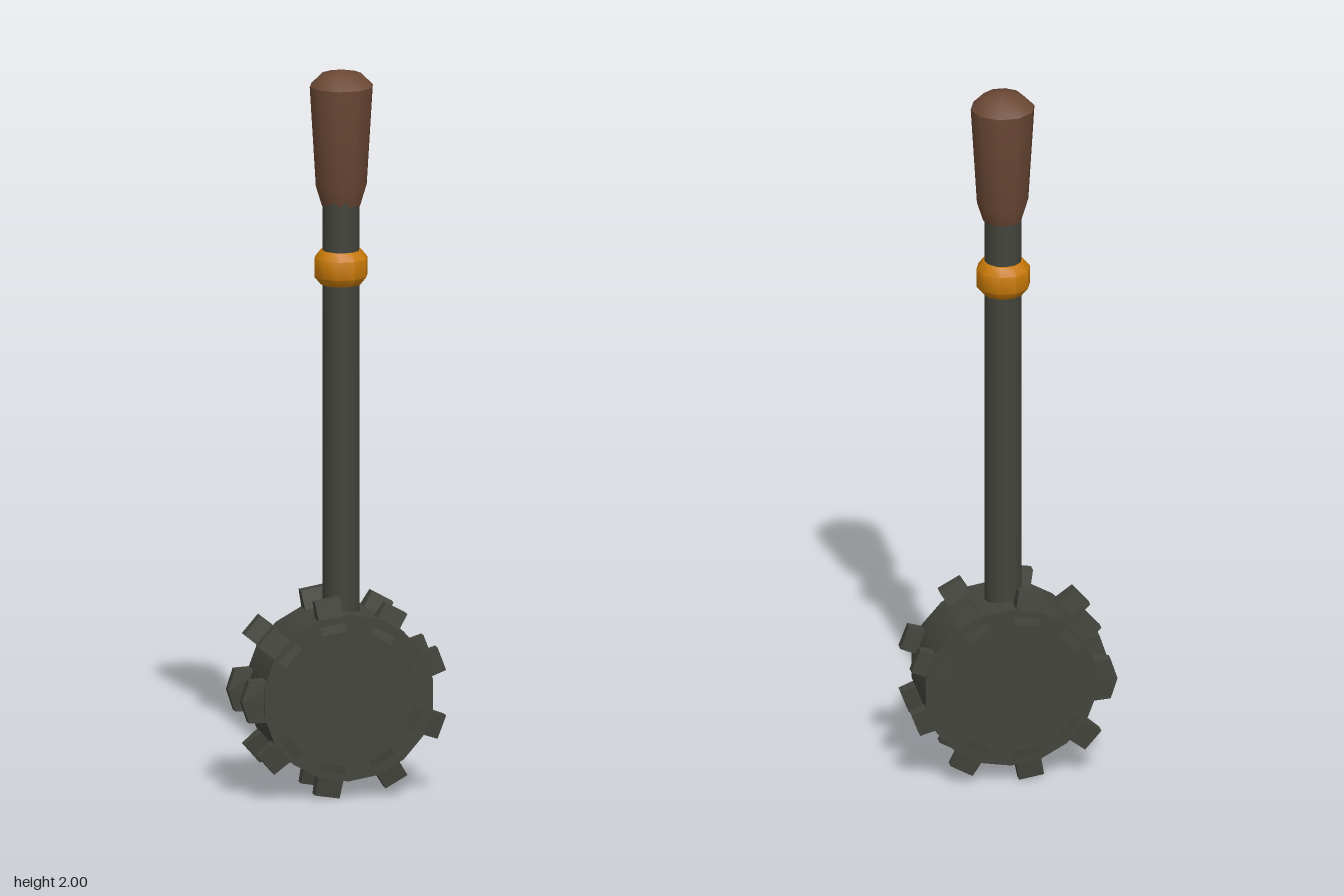
import * as THREE from 'three';
import { toCreasedNormals } from 'three/addons/utils/BufferGeometryUtils.js';

function material(name, color) {
  const m = new THREE.MeshStandardMaterial({ color });
  m.name = name;
  return m;
}

// Ten-sided turned part with a corner on the x axis; profile runs bottom to top
function turned(name, profile, mat, x, z) {
  const pts = profile.map(([r, y]) => new THREE.Vector2(r, y));
  const geo = toCreasedNormals(new THREE.LatheGeometry(pts, 10, Math.PI / 2), 0.7);
  const mesh = new THREE.Mesh(geo, mat);
  mesh.name = name;
  mesh.position.set(x, 0, z);
  return mesh;
}

// Radial tooth along +x, narrowing towards its tip; side is +1 (front) or -1 (back)
function toothGeometry(side, halfWidth, crown) {
  const box = new THREE.BoxGeometry(1, 1, 1, 1, 2, 1);
  const p = box.attributes.position;
  for (let i = 0; i < p.count; i++) {
    const tip = p.getX(i) > 0;
    const t = p.getY(i) * 2;
    const r = tip ? 0.287 - crown * Math.abs(t) : 0.19;
    const mid = tip ? 0.081 : 0.077;
    const depth = tip ? 0.028 : 0.06;
    p.setXYZ(i, r, t * halfWidth, side * mid + p.getZ(i) * depth);
  }
  const geo = box.toNonIndexed();
  geo.computeVertexNormals();
  return geo;
}

export function createModel() {
  const iron = material('darkIron', 0x43443c);
  const brass = material('brass', 0xc97a08);
  const wood = material('wood', 0x6b4835);
  const model = new THREE.Group();
  model.name = 'gearLever';

  // Double-toothed gear at the foot
  const gear = new THREE.Group();
  gear.name = 'gear';
  gear.position.set(0, 0.28, -0.004);
  gear.scale.y = 0.965;
  model.add(gear);

  const drumGeo = new THREE.CylinderGeometry(0.239, 0.239, 0.208, 18);
  drumGeo.rotateX(Math.PI / 2);
  const drum = new THREE.Mesh(drumGeo, iron);
  drum.name = 'gearDrum';
  drum.position.x = 0.008;
  gear.add(drum);

  // Nine teeth on each rim, the one on the right being wider and pointed
  for (const side of [1, -1]) {
    const narrow = toothGeometry(side, 0.035, 0);
    const wide = toothGeometry(side, 0.06, 0.019);
    for (let i = 0; i < 9; i++) {
      const tooth = new THREE.Mesh(i === 4 ? wide : narrow, iron);
      tooth.name = side > 0 ? 'frontTooth' : 'backTooth';
      tooth.rotation.z = THREE.MathUtils.degToRad(20 + 40 * i);
      gear.add(tooth);
    }
  }

  // Shaft
  const shaft = new THREE.Mesh(new THREE.CylinderGeometry(0.051, 0.051, 1.26, 12), iron);
  shaft.name = 'shaft';
  shaft.position.set(0.011, 1.03, -0.003);
  model.add(shaft);

  // Collar and grip
  model.add(turned('collar', [
    [0.04, 1.408], [0.056, 1.408], [0.074, 1.43], [0.074, 1.48], [0.056, 1.502], [0.04, 1.502],
  ], brass, 0.011, -0.005));
  model.add(turned('grip', [
    [0, 1.625], [0.054, 1.625], [0.071, 1.68], [0.088, 1.955], [0.055, 1.988], [0, 2],
  ], wood, 0.013, -0.008));

  return model;
}
